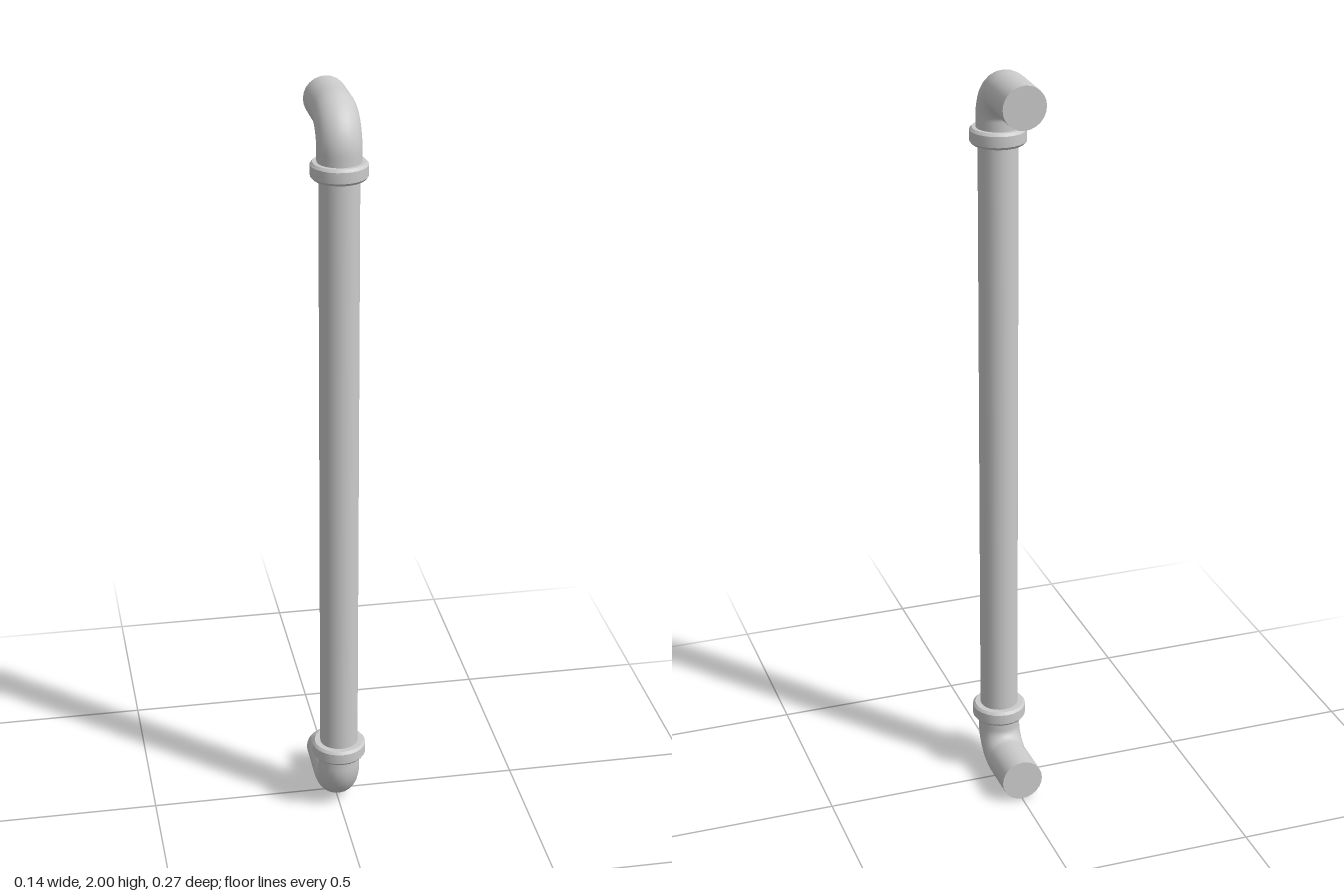
import * as THREE from 'three';
import { toCreasedNormals } from 'three/addons/utils/BufferGeometryUtils.js';

const SIDES = 24;
const PIPE_Z = 0.062;
const ELBOW_R = 0.056;
const material = new THREE.MeshStandardMaterial({ color: 0xcccccc });

function part(name, geometry) {
  const mesh = new THREE.Mesh(geometry, material);
  mesh.name = name;
  return mesh;
}

// One end fitting, in top position: collar, bent elbow and its closed end
function createFitting(name) {
  const group = new THREE.Group();
  group.name = name;

  // Collar ring with chamfered edges
  const profile = [
    [0.045, 1.8], [0.066, 1.8], [0.072, 1.807],
    [0.072, 1.835], [0.066, 1.842], [0.045, 1.842],
  ].map(([r, y]) => new THREE.Vector2(r, y));
  const collar = part('collar', toCreasedNormals(new THREE.LatheGeometry(profile, SIDES), 0.5));
  collar.position.z = PIPE_Z;
  group.add(collar);

  // Elbow: short riser, quarter bend, then a run to the back that dips slightly
  const v = (y, z) => new THREE.Vector3(0, y, z);
  const bendStart = v(1.867, PIPE_Z), bendEnd = v(1.944, -0.017), end = v(1.941, -0.135);
  const path = new THREE.CurvePath();
  path.add(new THREE.LineCurve3(v(1.82, PIPE_Z), bendStart));
  path.add(new THREE.CubicBezierCurve3(bendStart, v(1.91, PIPE_Z), v(1.945, 0.026), bendEnd));
  path.add(new THREE.LineCurve3(bendEnd, end));
  group.add(part('elbow', new THREE.TubeGeometry(path, 40, ELBOW_R, SIDES)));

  // Flat end of the elbow
  const cap = part('elbowEnd', new THREE.CircleGeometry(ELBOW_R, SIDES));
  cap.position.copy(end);
  cap.quaternion.setFromUnitVectors(new THREE.Vector3(0, 0, 1), end.clone().sub(bendEnd).normalize());
  group.add(cap);
  return group;
}

export function createModel() {
  const model = new THREE.Group();
  model.name = 'pipeHandle';

  // Long straight pipe
  const pipe = part('pipe', new THREE.CylinderGeometry(0.051, 0.051, 1.64, SIDES));
  pipe.position.set(0, 1, PIPE_Z);
  model.add(pipe);

  // Matching fittings, the lower one turned upside down
  model.add(createFitting('topFitting'));
  const bottom = createFitting('bottomFitting');
  bottom.rotation.z = Math.PI;
  bottom.position.y = 2;
  model.add(bottom);

  return model;
}
